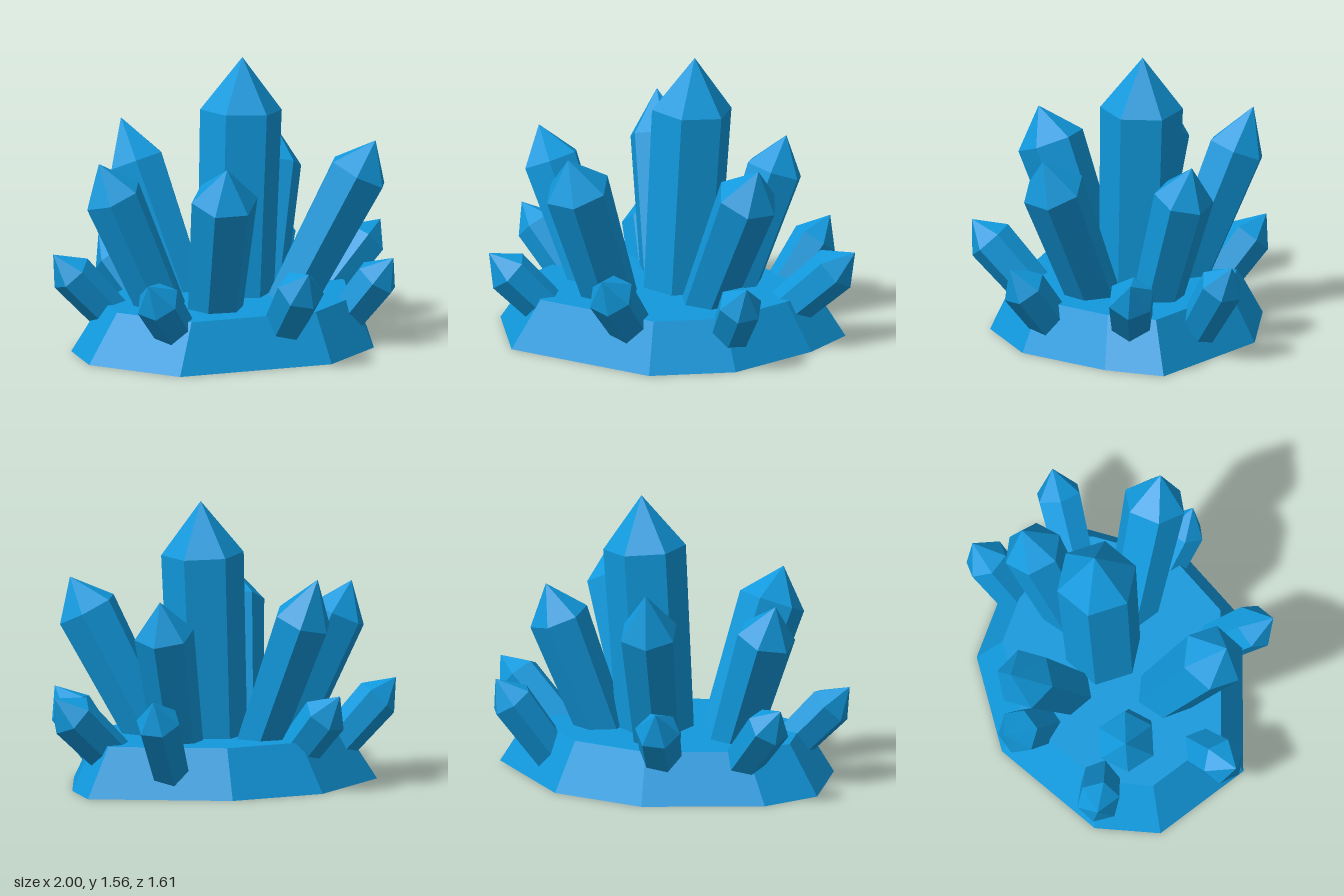
import * as THREE from 'three';
import { ConvexGeometry } from 'three/addons/geometries/ConvexGeometry.js';

const material = new THREE.MeshStandardMaterial({ color: 0x1199dd, flatShading: true });
const UP = new THREE.Vector3(0, 1, 0);

// Six-sided crystal from its root to its tip: tapered shaft and pointed cap
function crystal(name, root, tip, radius, cap, taper, spin = 0) {
  const start = new THREE.Vector3(...root);
  const axis = new THREE.Vector3(...tip).sub(start);
  const length = axis.length();
  const profile = [[0, 0], [radius * taper, 0], [radius, length - cap], [0, length]]
    .map(([r, y]) => new THREE.Vector2(r, y));
  const geometry = new THREE.LatheGeometry(profile, 6).rotateY(spin);
  const mesh = new THREE.Mesh(geometry, material);
  mesh.quaternion.setFromUnitVectors(UP, axis.normalize());
  mesh.position.copy(start);
  mesh.name = name;
  return mesh;
}

// Rock slab: irregular nine-sided outline, narrowing to a flat top
function rockBase() {
  const outline = [
    [-1, -0.1], [-0.8, 0.44], [0.04, 0.71], [0.48, 0.53], [0.79, 0.08],
    [0.9, -0.24], [0.28, -0.73], [-0.28, -0.77], [-0.86, -0.43],
  ];
  const points = outline.flatMap(([x, z]) => [
    new THREE.Vector3(x, 0, z),
    new THREE.Vector3(x * 0.82, 0.27, z * 0.82),
  ]);
  const mesh = new THREE.Mesh(new ConvexGeometry(points), material);
  mesh.name = 'rockBase';
  return mesh;
}

export function createModel() {
  const group = new THREE.Group();
  group.name = 'crystalCluster';
  group.add(rockBase());

  // Tall middle crystal
  group.add(crystal('centralCrystal', [0.01, 0.15, -0.09], [0.085, 1.56, -0.12], 0.225, 0.29, 0.93));

  // Ring of five large crystals: name, root, tip, radius, cap length, spin
  const large = [
    ['frontRightCrystal', [-0.31, 0.2, 0.13], [-0.48, 1.11, 0.45], 0.185, 0.2, 0.1],
    ['frontLeftCrystal', [0.2, 0.2, 0.13], [0.58, 1.12, 0.42], 0.175, 0.2, 0.3],
    ['sideRightCrystal', [-0.47, 0.2, -0.1], [-0.82, 1.07, -0.24], 0.165, 0.2, 0.25],
    ['backCrystal', [-0.14, 0.2, -0.33], [-0.28, 1.17, -0.72], 0.165, 0.25, 0.4],
    ['backLeftCrystal', [0.27, 0.2, -0.19], [0.53, 1.07, -0.39], 0.165, 0.2, 0.1],
  ];
  for (const [name, root, tip, r, cap, spin] of large) {
    group.add(crystal(name, root, tip, r, cap, 0.82, spin));
  }

  // Outer ring of small crystals growing from the sloped rim
  const small = [
    ['smallFrontCrystal', [-0.1, 0.12, 0.42], [-0.2, 0.55, 0.81], 0.13],
    ['smallFrontLeftCrystal', [0.37, 0.08, 0.33], [0.56, 0.5, 0.6], 0.125],
    ['smallLeftCrystal', [0.52, 0.1, -0.07], [1, 0.54, -0.06], 0.13],
    ['smallBackLeftCrystal', [0.46, 0.1, -0.4], [0.72, 0.56, -0.61], 0.125],
    ['smallBackCrystal', [-0.24, 0.1, -0.45], [-0.38, 0.53, -0.79], 0.125],
    ['smallBackRightCrystal', [-0.58, 0.1, -0.3], [-0.97, 0.55, -0.45], 0.12],
    ['smallFrontRightCrystal', [-0.58, 0.1, 0.2], [-0.95, 0.51, 0.35], 0.125],
  ];
  small.forEach(([name, root, tip, r], i) => {
    group.add(crystal(name, root, tip, r, 0.15, 0.88, i * 0.2));
  });
  return group;
}
